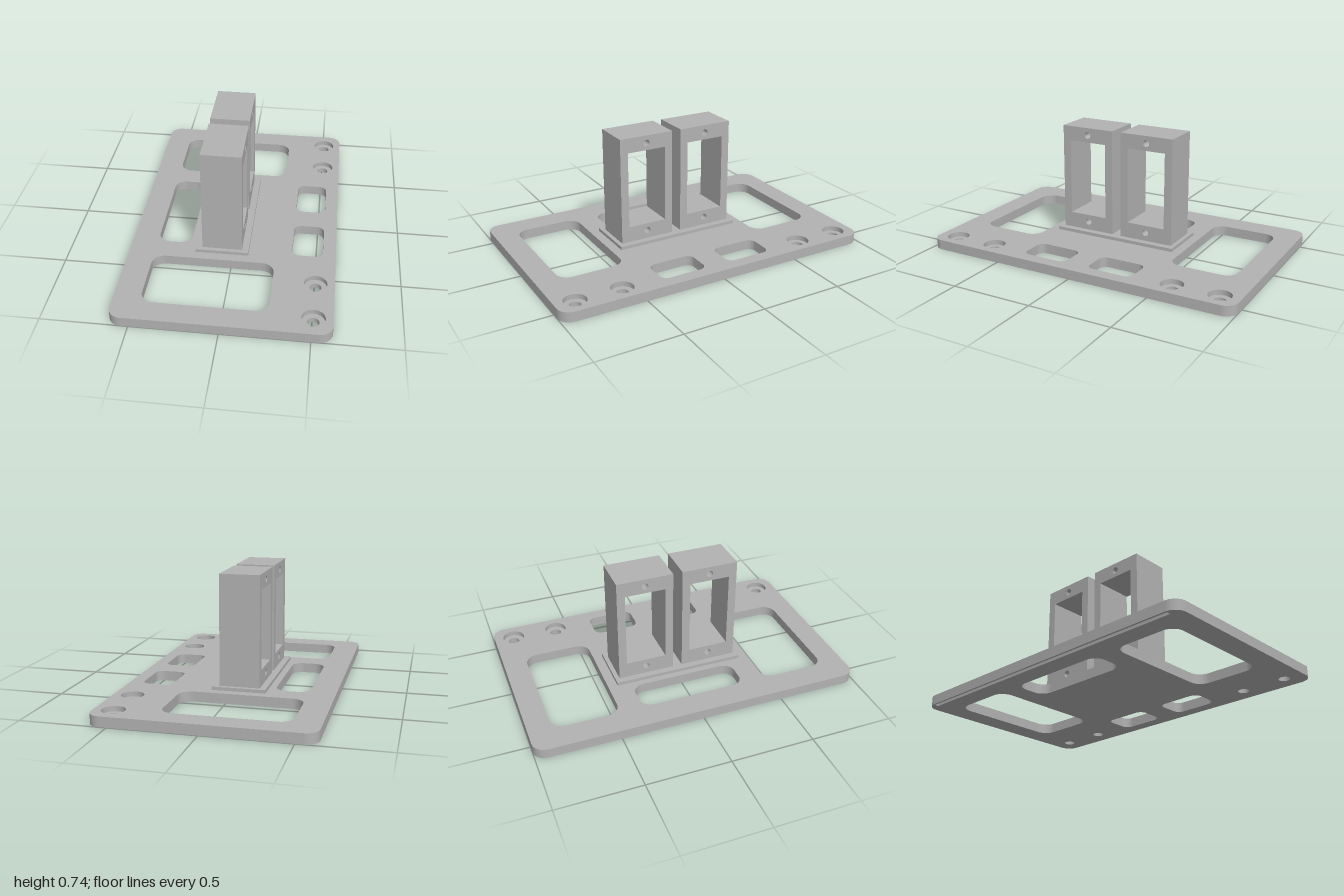
import * as THREE from 'three';
import { toCreasedNormals } from 'three/addons/utils/BufferGeometryUtils.js';

// Rectangle with optional rounded corners, given by its limits
function rect(x0, x1, y0, y1, r = 0, Type = THREE.Path) {
  const p = new Type();
  if (r === 0) {
    p.moveTo(x0, y0).lineTo(x1, y0).lineTo(x1, y1).lineTo(x0, y1);
  } else {
    p.absarc(x1 - r, y0 + r, r, -Math.PI / 2, 0);
    p.absarc(x1 - r, y1 - r, r, 0, Math.PI / 2);
    p.absarc(x0 + r, y1 - r, r, Math.PI / 2, Math.PI);
    p.absarc(x0 + r, y0 + r, r, Math.PI, Math.PI * 1.5);
  }
  p.closePath();
  return p;
}

function circle(x, y, r) {
  const p = new THREE.Path();
  p.absarc(x, y, r, 0, Math.PI * 2);
  return p;
}

function extrude(shape, depth) {
  const geo = new THREE.ExtrudeGeometry(shape, { depth, bevelEnabled: false, curveSegments: 12 });
  return toCreasedNormals(geo, 0.6);
}

export function createModel() {
  const grey = new THREE.MeshStandardMaterial({ color: 0xb2b2b2 });
  grey.name = 'grey';
  const model = new THREE.Group();
  model.name = 'servoMount';

  const add = (parent, geo, name) => {
    const mesh = new THREE.Mesh(geo, grey);
    mesh.name = name;
    parent.add(mesh);
    return mesh;
  };

  // Base plate in two layers: the upper has the counterbores, the lower the screw holes
  const plate = new THREE.Group();
  plate.name = 'basePlate';
  model.add(plate);
  const plateLayer = (top, depth, screwRadius, extraHoles, name) => {
    const shape = rect(-0.617, 0.617, -1, 1, 0.075, THREE.Shape);
    shape.holes.push(rect(-0.463, -0.26, -0.322, 0.32, 0.07), ...extraHoles);
    for (const s of [-1, 1]) {
      const [a, b] = [s * 0.457, s * 0.86].sort((m, n) => m - n);
      const [c, d] = [s * 0.075, s * 0.362].sort((m, n) => m - n);
      shape.holes.push(rect(-0.463, 0.26, a, b, 0.075));
      shape.holes.push(rect(0.354, 0.54, c, d, 0.045));
      for (const z of [0.6, 0.88]) shape.holes.push(circle(0.507, s * z, screwRadius));
    }
    const geo = extrude(shape, depth);
    geo.rotateX(Math.PI / 2).translate(0, top, 0);
    add(plate, geo, name);
  };
  plateLayer(0.06, 0.03, 0.067, [], 'upperPlate');
  // Narrow groove under the long edge
  plateLayer(0.03, 0.03, 0.034, [rect(-0.605, -0.58, -0.93, 0.93)], 'lowerPlate');

  // Raised pad under the frames
  const pad = add(model, new THREE.BoxGeometry(0.318, 0.02, 0.8), 'pad');
  pad.position.set(-0.062, 0.07, 0);

  // Two upright frames with a window and two screw holes each
  for (const s of [-1, 1]) {
    const zc = s * 0.2015;
    const shape = rect(zc - 0.1725, zc + 0.1725, 0.08, 0.738, 0, THREE.Shape);
    shape.holes.push(rect(zc - 0.123, zc + 0.123, 0.177, 0.647));
    for (const y of [0.131, 0.691]) shape.holes.push(circle(zc, y, 0.02));
    const geo = extrude(shape, 0.238);
    geo.rotateY(-Math.PI / 2).translate(0.056, 0, 0);
    add(model, geo, s > 0 ? 'frontFrame' : 'backFrame');
  }
  return model;
}
